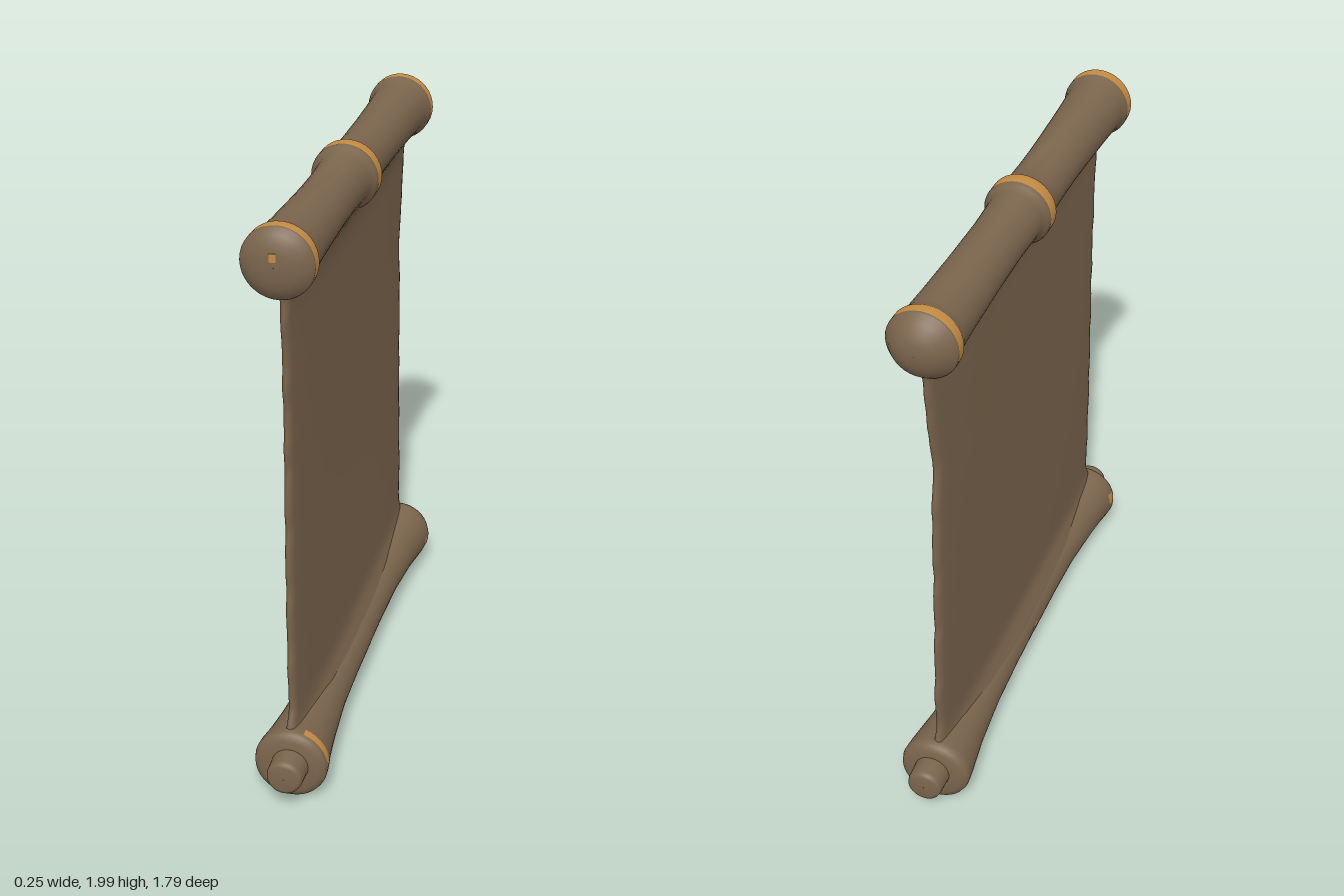
import * as THREE from 'three';

const brown = new THREE.MeshStandardMaterial({ color: 0x7b654d });
brown.name = 'weathered brown';
const gold = new THREE.MeshStandardMaterial({ color: 0xc58c43 });
gold.name = 'gold';

const SEG = 36;
const lerp = THREE.MathUtils.lerp;

// Linear look-up in a short list of [key, value] pairs
function sample(pairs, t) {
  for (let i = 1; i < pairs.length; i++) {
    if (t <= pairs[i][0]) {
      const [a, b] = [pairs[i - 1], pairs[i]];
      return lerp(a[1], b[1], (t - a[0]) / (b[0] - a[0]));
    }
  }
  return pairs[pairs.length - 1][1];
}

// Smooth skin over closed rings; isGold(ring, side) picks the trim faces
function loft(name, rings, isGold = () => false) {
  const n = rings[0].length;
  const plain = [], trim = [];
  for (let i = 0; i < rings.length - 1; i++) {
    for (let j = 0; j < n; j++) {
      const k = (j + 1) % n;
      const a = i * n + j, b = i * n + k, c = a + n, d = b + n;
      (isGold(i, j) ? trim : plain).push(a, b, d, a, d, c);
    }
  }
  const geo = new THREE.BufferGeometry().setFromPoints(rings.flat());
  geo.setIndex([...plain, ...trim]);
  geo.addGroup(0, plain.length, 0);
  if (trim.length) geo.addGroup(plain.length, trim.length, 1);
  geo.computeVertexNormals();
  const mesh = new THREE.Mesh(geo, [brown, gold]);
  mesh.name = name;
  return mesh;
}

// Round rings along z from [z, radius] pairs, with an optional dent rule
function roundRings(cx, cy, profile, dent = () => 0) {
  return profile.map(([z, r]) => Array.from({ length: SEG }, (_, j) => {
    const a = (j / SEG) * Math.PI * 2;
    const q = r - dent(a, z);
    return new THREE.Vector3(cx + q * Math.cos(a), cy + q * Math.sin(a), z);
  }));
}

function topRoller() {
  const profile = [
    [-0.862, 0.001], [-0.86, 0.035], [-0.85, 0.065], [-0.828, 0.092], [-0.805, 0.11],
    [-0.8, 0.114], [-0.765, 0.114], [-0.755, 0.109], [-0.72, 0.1], [-0.6, 0.095], [-0.4, 0.09],
    [-0.2, 0.088], [-0.06, 0.092], [-0.035, 0.104], [-0.024, 0.112], [0.024, 0.112], [0.035, 0.104],
    [0.06, 0.093], [0.12, 0.09], [0.2, 0.088], [0.3, 0.088], [0.4, 0.09], [0.6, 0.096], [0.72, 0.102],
    [0.748, 0.11], [0.756, 0.114], [0.795, 0.114], [0.8, 0.111], [0.817, 0.094], [0.829, 0.07],
    [0.835, 0.04], [0.837, 0.001],
  ];
  // shallow crease along the top beside the middle band
  const dent = (a, z) => z > 0.05 && z < 0.35
    ? 0.014 * Math.sin((z - 0.05) / 0.3 * Math.PI) * Math.exp(-(((a - Math.PI / 2) / 0.25) ** 2)) : 0;
  const isGold = (i) => {
    const z = (profile[i][0] + profile[i + 1][0]) / 2;
    return [-0.7825, 0, 0.7755].some((b) => Math.abs(z - b) < 0.004);
  };
  return loft('topRoller', roundRings(-0.011, 1.884, profile, dent), isGold);
}

function bottomRoller() {
  const profile = [
    [-0.815, 0.001], [-0.815, 0.06], [-0.812, 0.095], [-0.802, 0.116], [-0.785, 0.122], [-0.772, 0.121],
    [-0.745, 0.119], [-0.7, 0.113], [-0.6, 0.1], [-0.4, 0.085], [-0.2, 0.08], [-0.022, 0.079],
    [0.006, 0.08], [0.2, 0.08], [0.4, 0.084], [0.6, 0.1], [0.7, 0.111], [0.753, 0.12],
    [0.785, 0.123], [0.802, 0.118], [0.812, 0.098], [0.815, 0.06], [0.815, 0.001],
  ];
  const isGold = (i, j) => {
    const z = (profile[i][0] + profile[i + 1][0]) / 2;
    const deg = (j + 0.5) * 360 / SEG;
    const side = deg > 180 ? deg - 360 : deg;
    if (Math.abs(z - 0.769) < 0.004) return (side > -40 && side < 70 && Math.abs(side + 10) > 6) || side > 160;
    if (Math.abs(z + 0.008) < 0.004) return (side > -20 && side < 0) || side > 170;
    return Math.abs(z + 0.7585) < 0.004 && side > -20 && side < 0;
  };
  return loft('bottomRoller', roundRings(0.002, 0.132, profile), isGold);
}

// Hanging cloth: flat rounded sections stacked upwards, with worn side edges
function cloth() {
  const front = [[0.14, 0.79], [0.25, 0.775], [0.3, 0.752], [0.6, 0.748], [1.0, 0.74], [1.3, 0.738],
    [1.55, 0.752], [1.75, 0.768], [1.88, 0.775]];
  const back = [[0.14, 0.79], [0.24, 0.782], [0.3, 0.768], [0.42, 0.778], [0.8, 0.766], [1.2, 0.757],
    [1.35, 0.734], [1.46, 0.738], [1.55, 0.762], [1.7, 0.768], [1.78, 0.785], [1.88, 0.785]];
  const half = [[0.14, 0.075], [0.2, 0.05], [0.23, 0.032], [0.27, 0.023], [1.7, 0.023], [1.76, 0.028],
    [1.8, 0.048], [1.84, 0.07], [1.88, 0.075]];
  const rings = [];
  const rows = 58;
  for (let i = 0; i <= rows; i++) {
    const y = lerp(0.14, 1.88, i / rows);
    const cx = -0.003 - 0.007 * Math.sin((y - 0.14) / 1.74 * Math.PI);
    const w = sample(half, y);
    const wear = 0.004 * Math.sin(y * 31) + 0.002 * Math.sin(y * 57);
    rings.push(Array.from({ length: 40 }, (_, j) => {
      const a = (j / 40) * Math.PI * 2;
      const c = Math.cos(a), s = Math.sin(a);
      const reach = (c > 0 ? sample(front, y) : sample(back, y)) + wear;
      return new THREE.Vector3(
        cx + w * Math.sign(s) * Math.abs(s) ** 0.4, y,
        reach * Math.sign(c) * Math.abs(c) ** 0.8);
    }));
  }
  return loft('cloth', rings);
}

// Stubby knob on each end of the bottom roller
function knob(side) {
  const profile = [[0.78, 0.064], [0.83, 0.061], [0.875, 0.06], [0.888, 0.056], [0.893, 0.045], [0.894, 0.001]]
    .map(([z, r]) => [z * side, r]);
  if (side < 0) profile.reverse();
  return loft(side > 0 ? 'frontKnob' : 'backKnob', roundRings(0.005, 0.139, profile));
}

export function createModel() {
  const group = new THREE.Group();
  group.name = 'hangingScroll';
  const stud = new THREE.Mesh(new THREE.BoxGeometry(0.02, 0.026, 0.006), gold);
  stud.name = 'endStud';
  stud.position.set(-0.014, 1.914, 0.835);
  group.add(topRoller(), bottomRoller(), cloth(), knob(1), knob(-1), stud);
  return group;
}
